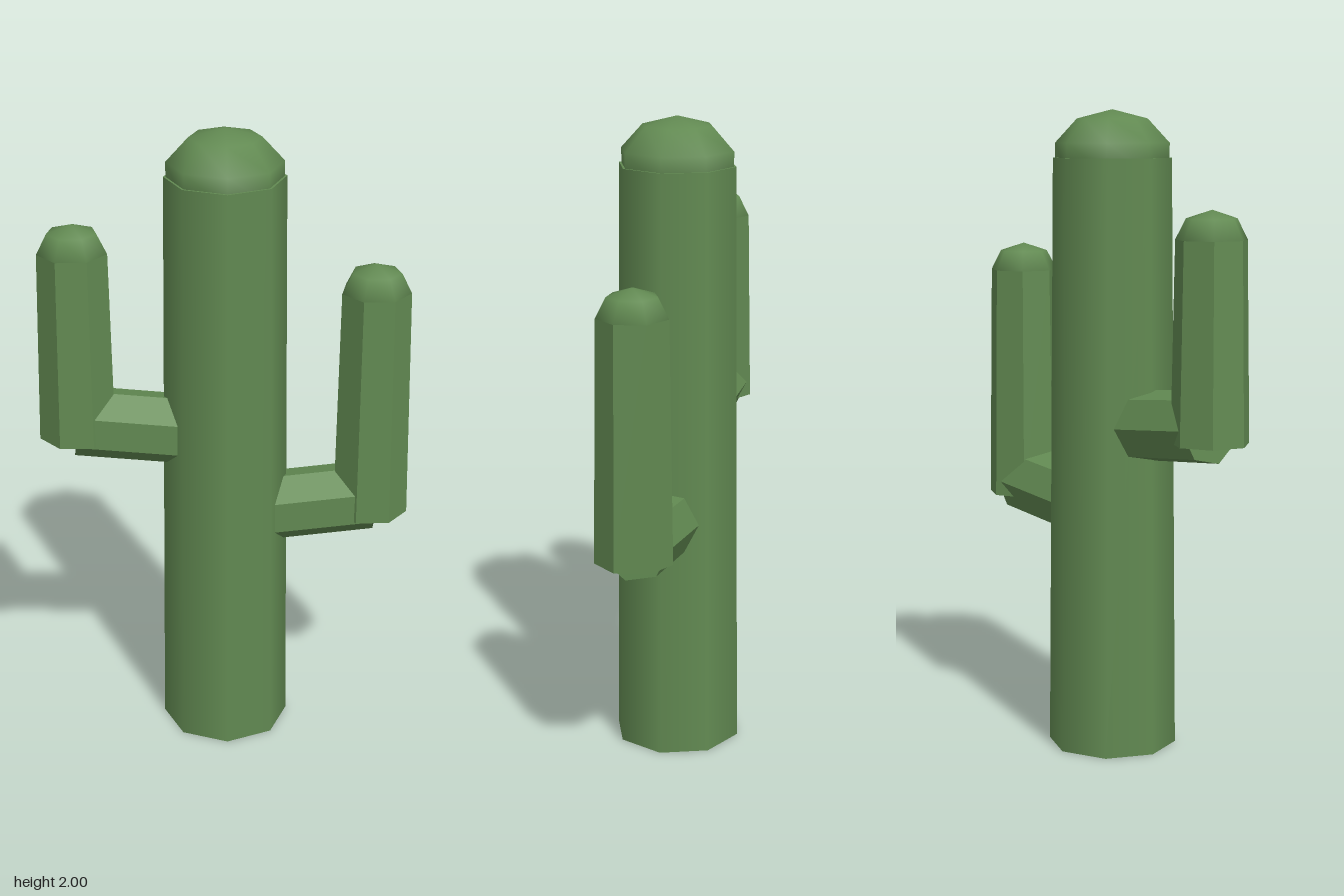
import * as THREE from 'three';

export function createModel() {
  const model = new THREE.Group();
  model.name = 'cactus';
  const green = new THREE.MeshStandardMaterial({ color: 0x628a52 });
  green.name = 'cactus green';

  const add = (parent, name, geometry, x, y) => {
    const mesh = new THREE.Mesh(geometry, green);
    mesh.name = name;
    mesh.position.set(x, y, 0);
    parent.add(mesh);
    return mesh;
  };

  // Seven-sided faceted stem with a ridge towards the back
  const facetedStem = (rTop, rBottom, length) => {
    const g = new THREE.CylinderGeometry(rTop, rBottom, length, 7).rotateY(Math.PI).toNonIndexed();
    g.computeVertexNormals();
    return g;
  };

  // Smooth trunk and its slightly flattened cap
  const trunkTop = 1.853;
  add(model, 'trunk', new THREE.CylinderGeometry(0.184, 0.202, trunkTop, 8), 0, trunkTop / 2);
  add(model, 'trunkCap', new THREE.SphereGeometry(0.186, 8, 5).scale(1, 0.79, 1), 0, trunkTop);

  // Each arm: sloping elbow, upright stem and rounded cap
  const tilt = 0.1;
  const addArm = (name, side, bottom, top, elbowY) => {
    const arm = new THREE.Group();
    arm.name = name;
    model.add(arm);

    const inner = 0.08, outer = 0.46;
    const length = (outer - inner) / Math.cos(tilt);
    const middle = (inner + outer) / 2;
    const elbow = add(arm, 'elbow', facetedStem(0.112, 0.112, length),
      side * middle, elbowY - (outer - middle) * Math.tan(tilt));
    elbow.rotation.z = -side * (Math.PI / 2 - tilt);

    add(arm, 'upright', facetedStem(0.109, 0.12, top - bottom), side * outer, (top + bottom) / 2);
    const cap = new THREE.SphereGeometry(0.109, 7, 4).scale(1, 0.8, 1).rotateY(-Math.PI / 2);
    add(arm, 'armCap', cap, side * outer, top);
  };
  addArm('leftArm', 1, 0.745, 1.485, 0.793);
  addArm('rightArm', -1, 1.02, 1.622, 1.068);

  return model;
}
